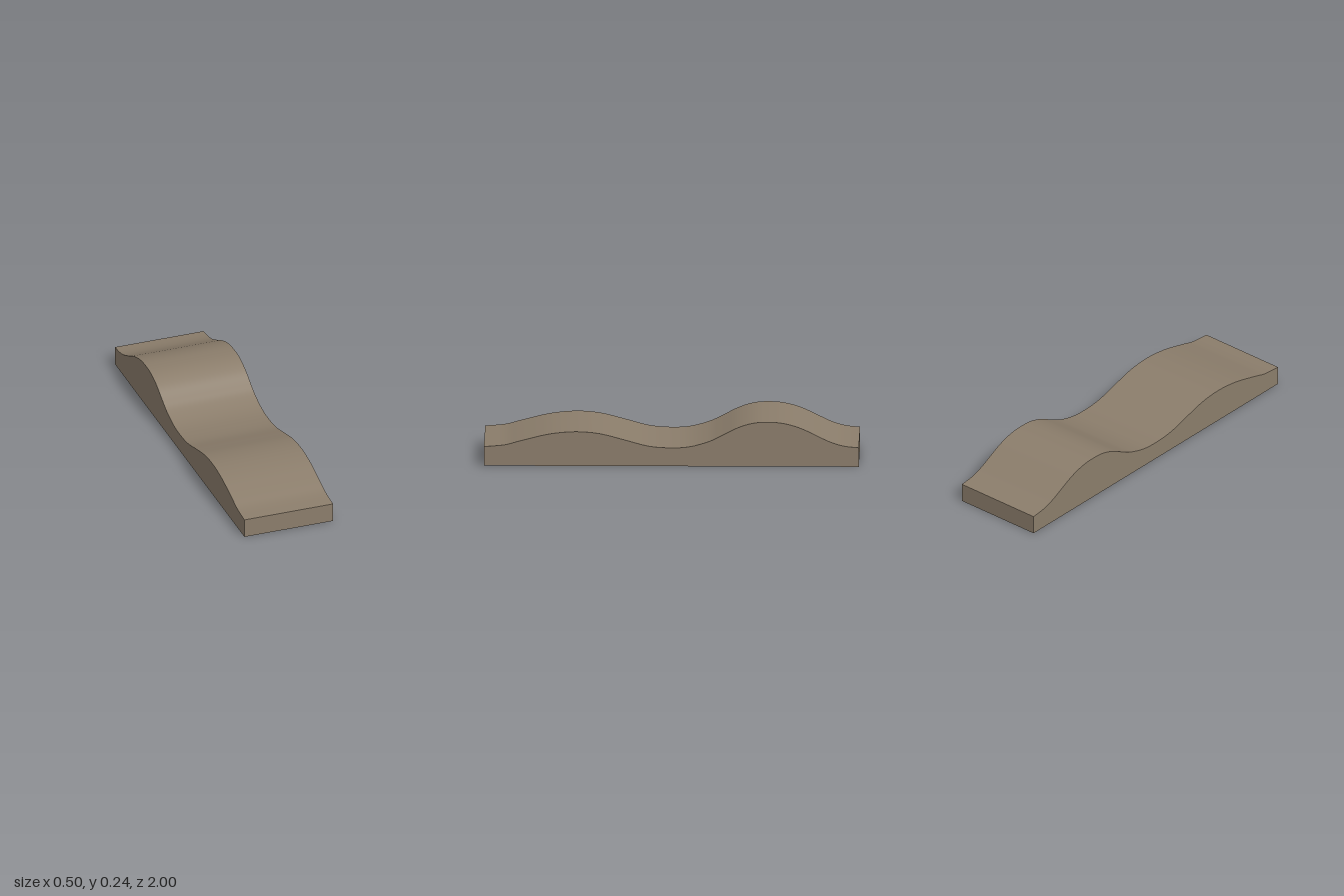
import * as THREE from 'three';
import { toCreasedNormals } from 'three/addons/utils/BufferGeometryUtils.js';

const HALF_WIDTH = 0.252;
const WALL = 0.015;

// Rolling top line as (z, y) points, front to back
const CREST = [
  [1, 0.104], [0.89, 0.114], [0.8, 0.138], [0.65, 0.174], [0.51, 0.187], [0.38, 0.176],
  [0.25, 0.143], [0.12, 0.109], [0, 0.1], [-0.1, 0.107], [-0.2, 0.135], [-0.27, 0.168],
  [-0.35, 0.209], [-0.43, 0.235], [-0.51, 0.242], [-0.6, 0.235], [-0.7, 0.205],
  [-0.84, 0.138], [-0.92, 0.113], [-1, 0.104],
];

export function createModel() {
  const model = new THREE.Group();
  model.name = 'waveRamp';
  const wood = new THREE.MeshStandardMaterial({ color: 0x8b7d6b });
  wood.name = 'weathered wood';

  const curve = new THREE.SplineCurve(CREST.map(([z, y]) => new THREE.Vector2(z, y)));
  const top = curve.getPoints(76);
  const under = top.map((p) => new THREE.Vector2(p.x, p.y - WALL));

  function add(name, geometry) {
    const mesh = new THREE.Mesh(geometry, wood);
    mesh.name = name;
    model.add(mesh);
    return mesh;
  }

  // Extrudes a (z, y) outline across x, centred on the given x
  function extrudeAcross(points, width, x) {
    const geometry = new THREE.ExtrudeGeometry(new THREE.Shape(points), { depth: width, bevelEnabled: false });
    geometry.rotateY(-Math.PI / 2).translate(x + width / 2, 0, 0);
    return toCreasedNormals(geometry, 0.6);
  }

  // Curved deck
  add('deck', extrudeAcross([...top, ...under.slice().reverse()], HALF_WIDTH * 2, 0));

  // Side walls follow the underside of the deck
  const wallOutline = [...under, new THREE.Vector2(-1, 0), new THREE.Vector2(1, 0)];
  for (const [name, side] of [['leftWall', 1], ['rightWall', -1]]) {
    add(name, extrudeAcross(wallOutline, WALL, side * (HALF_WIDTH - WALL / 2)));
  }

  // End panels and cross ribs between the walls
  function crossPanel(name, z, height) {
    const panel = add(name, new THREE.BoxGeometry((HALF_WIDTH - WALL) * 2, height, WALL));
    panel.position.set(0, height / 2, z);
  }
  crossPanel('frontPanel', 1 - WALL / 2, 0.09);
  crossPanel('backPanel', -1 + WALL / 2, 0.09);
  crossPanel('frontRib', 0.5, 0.173);
  crossPanel('middleRib', 0, 0.086);
  crossPanel('backRib', -0.5, 0.228);

  return model;
}
